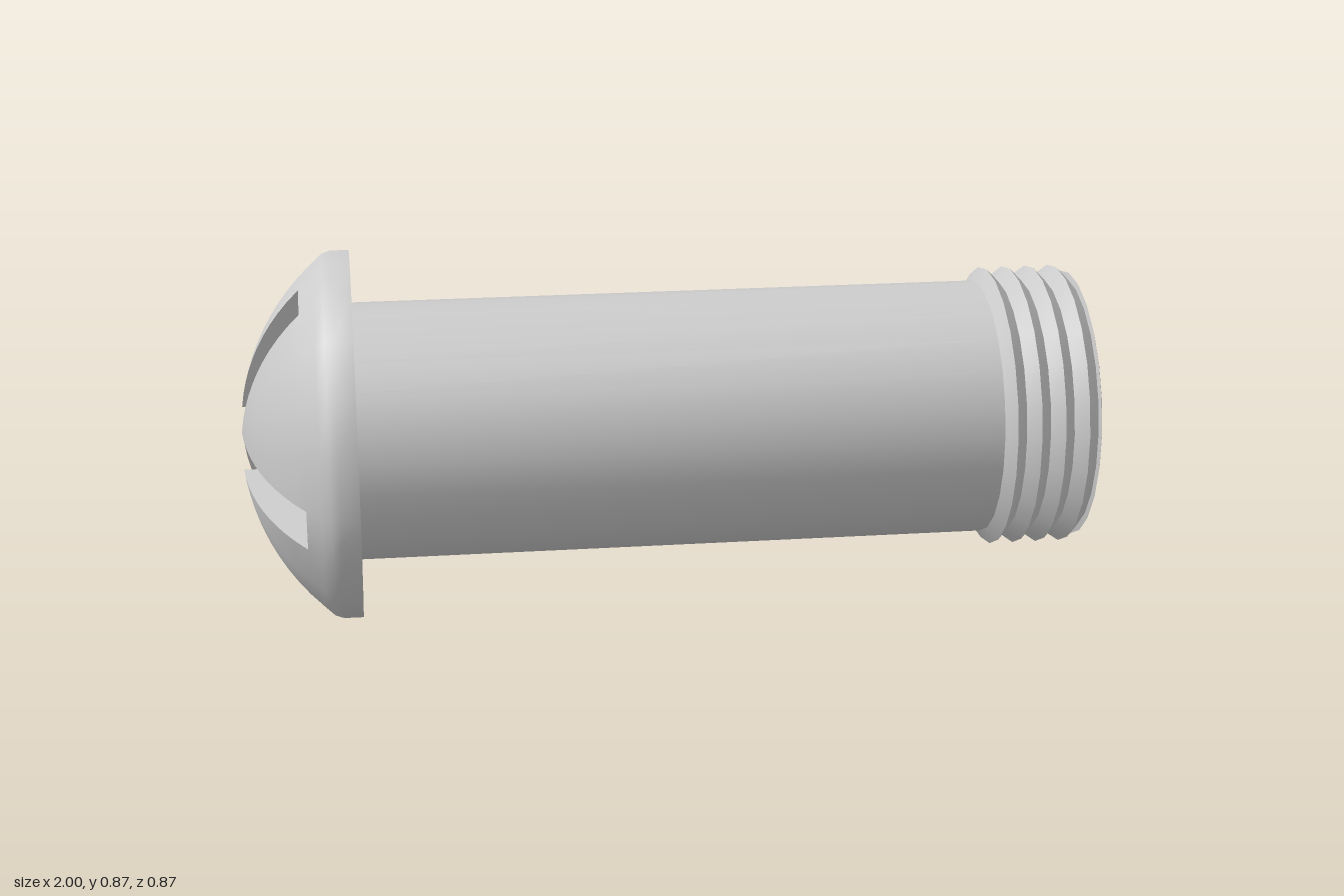
import * as THREE from 'three';
import { mergeGeometries, mergeVertices, toCreasedNormals } from 'three/addons/utils/BufferGeometryUtils.js';

const W = 0.053;            // half width of a slot arm
const REACH = 0.377;        // radius at which the slots run out of the dome
const FLOOR = -0.85;        // x of the slot floor
const CORE = W * Math.SQRT2;
const TURN = -20 * Math.PI / 180;
const SPHERE = 0.55;

const domeX = r => -1 + SPHERE - Math.sqrt(SPHERE * SPHERE - r * r);
const spread = r => (r <= CORE ? Math.PI / 4 : Math.asin(W / r));
const polar = (r, a, x) => [x, r * Math.sin(a), r * Math.cos(a)];
const armAngle = k => TURN + k * Math.PI / 2;

// Surface patch from a rule (u, v) -> [x, y, z]
function patch(nu, nv, rule) {
  const pos = [], index = [];
  for (let i = 0; i <= nu; i++)
    for (let j = 0; j <= nv; j++) pos.push(...rule(i / nu, j / nv));
  for (let i = 0; i < nu; i++)
    for (let j = 0; j < nv; j++) {
      const a = i * (nv + 1) + j, b = a + nv + 1;
      index.push(a, b, b + 1, a, b + 1, a + 1);
    }
  const g = new THREE.BufferGeometry();
  g.setAttribute('position', new THREE.Float32BufferAttribute(pos, 3));
  g.setIndex(index);
  return g;
}

function mesh(name, geometry, crease) {
  const material = new THREE.MeshStandardMaterial({ color: 0xcccccc, side: THREE.DoubleSide });
  const m = new THREE.Mesh(toCreasedNormals(geometry, crease), material);
  m.name = name;
  return m;
}

// Domed shell: four quarters between the slots, then full rings out to the rim
function domeGeometry() {
  const parts = [];
  for (let k = 0; k < 4; k++)
    parts.push(patch(10, 4, (u, v) => {
      const r = CORE + (REACH - CORE) * u, s = spread(r);
      return polar(r, armAngle(k) + s + v * (Math.PI / 2 - 2 * s), domeX(r));
    }));
  const s = spread(REACH);
  const rim = [[REACH, domeX(REACH)], [0.41, domeX(0.41)], [0.43, -0.795], [0.437, -0.775], [0.437, -0.73]];
  const n = rim.length - 1;
  parts.push(patch(n, 24, (u, v) => {
    const j = Math.round(v * 24), k = Math.floor(j / 6), m = j % 6;
    const a = m < 2 ? (m - 1) * s : s + (m - 2) / 4 * (Math.PI / 2 - 2 * s);
    const [r, x] = rim[Math.round(u * n)];
    return polar(r, armAngle(k) + a, x);
  }));
  return mergeVertices(mergeGeometries(parts), 1e-4);
}

// Cross recess: flat floor and two side walls per arm
function slotGeometry() {
  const parts = [];
  for (let k = 0; k < 4; k++) {
    parts.push(patch(1, 2, (u, v) => polar(CORE * u, armAngle(k) + (v * 2 - 1) * Math.PI / 4, FLOOR)));
    parts.push(patch(10, 2, (u, v) => {
      const r = CORE + (REACH - CORE) * u;
      return polar(r, armAngle(k) + (v * 2 - 1) * spread(r), FLOOR);
    }));
    for (const side of [-1, 1])
      parts.push(patch(10, 1, (u, v) => {
        const r = CORE + (REACH - CORE) * u;
        const t = side > 0 ? 1 - v : v;
        return polar(r, armAngle(k) + side * spread(r), domeX(r) + (FLOOR - domeX(r)) * t);
      }));
  }
  return mergeGeometries(parts);
}

// Solid of revolution along x from [x, r] pairs
function turned(profile) {
  const g = new THREE.LatheGeometry(profile.map(([x, r]) => new THREE.Vector2(r, x)), 24);
  return g.rotateZ(-Math.PI / 2);
}

export function createModel() {
  const model = new THREE.Group();
  model.name = 'screw';

  const head = new THREE.Group();
  head.name = 'head';
  head.add(mesh('dome', domeGeometry(), 0.7), mesh('crossSlot', slotGeometry(), 0.5));

  const shaft = mesh('shaft', turned([[FLOOR, 0.305], [0.775, 0.305]]), 0.6);

  // Four sharp ridges and the closed end
  const thread = [[0.77, 0.305]];
  for (let i = 0; i < 4; i++) {
    const x = 0.793 + i * 0.057;
    thread.push([x, 0.337], [x + 0.028, 0.308]);
  }
  thread.push([0.996, 0.322], [1, 0.31], [1, 0]);
  const threads = mesh('threadedEnd', turned(thread), 0.6);

  const body = new THREE.Group();
  body.name = 'body';
  body.add(shaft, threads);
  body.position.set(0, 0.007, 0);

  // The axis leans very slightly
  model.add(head, body);
  const lean = new THREE.Group();
  lean.name = 'leaningScrew';
  lean.add(head, body);
  lean.rotation.set(0, -0.005, 0.009);
  lean.position.set(0, 0.4465, 0.002);
  model.add(lean);
  return model;
}
